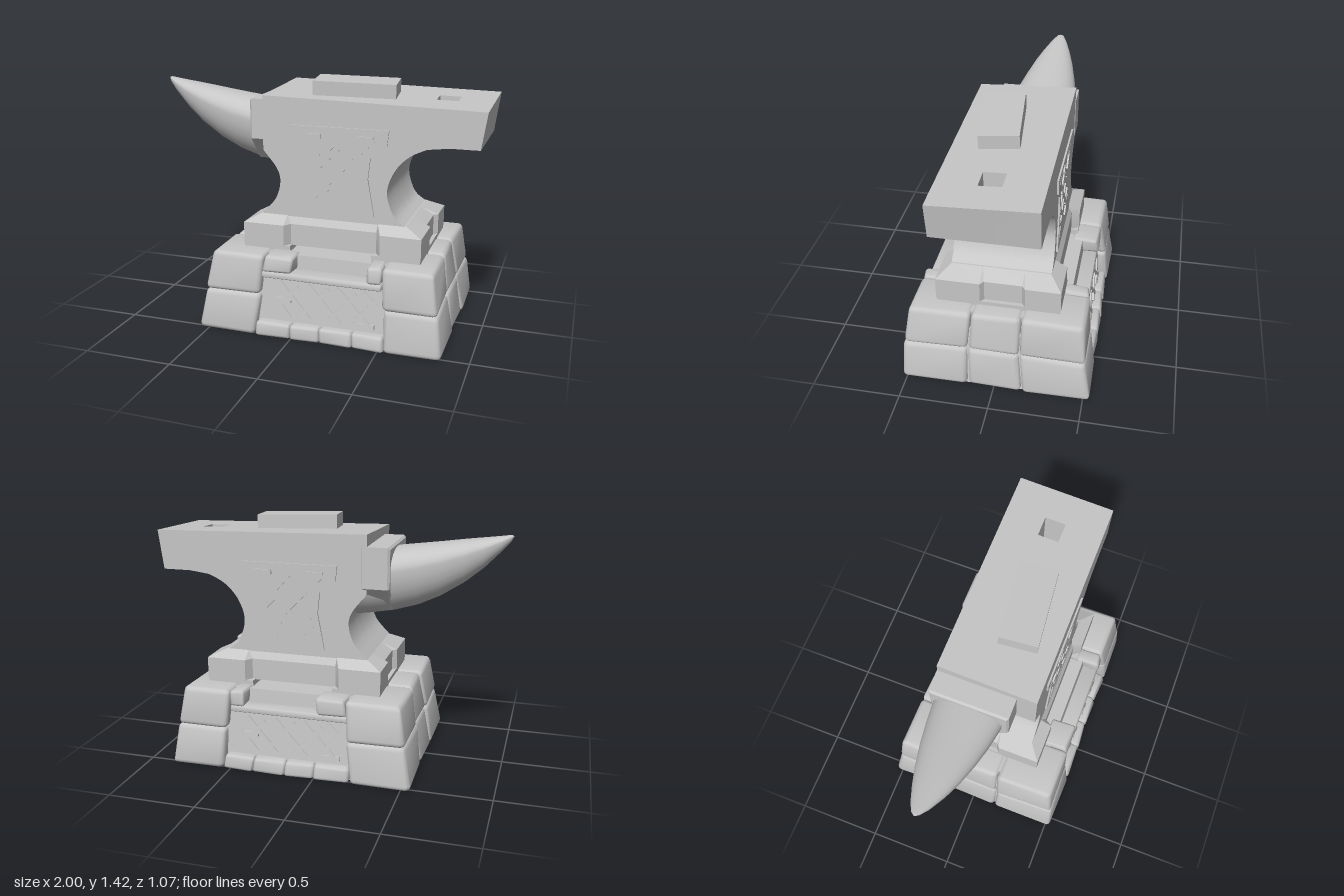
import * as THREE from 'three';
import { toCreasedNormals } from 'three/addons/utils/BufferGeometryUtils.js';
import { RoundedBoxGeometry } from 'three/addons/geometries/RoundedBoxGeometry.js';

const stoneGrey = new THREE.MeshStandardMaterial({ color: 0xc6c6c6 });

function add(parent, name, geo, crease = 0.6) {
  const mesh = new THREE.Mesh(crease ? toCreasedNormals(geo, crease) : geo, stoneGrey);
  mesh.name = name;
  parent.add(mesh);
  return mesh;
}

// move every vertex by a rule
function warp(geo, rule) {
  const p = geo.attributes.position, v = new THREE.Vector3();
  for (let i = 0; i < p.count; i++) {
    rule(v.fromBufferAttribute(p, i));
    p.setXYZ(i, v.x, v.y, v.z);
  }
  return geo;
}

const polygon = pts => new THREE.Shape(pts.map(p => new THREE.Vector2(p[0], p[1])));

// the plinth narrows upwards around x = 0.15
const taper = v => {
  const s = 1 - 0.22 * v.y;
  v.x = 0.15 + (v.x - 0.15) * s;
  v.z *= s;
};

// flat strand from point to point, standing on the plane z
function strand([x1, y1, x2, y2], z, width) {
  const dx = x2 - x1, dy = y2 - y1;
  return new THREE.BoxGeometry(Math.hypot(dx, dy), width, 0.024)
    .rotateZ(Math.atan2(dy, dx)).translate((x1 + x2) / 2, (y1 + y2) / 2, z);
}

// half turn about a vertical axis at x = cx, for the back copy
const turn = (geo, cx, back) => back ? geo.translate(-cx, 0, 0).rotateY(Math.PI).translate(cx, 0, 0) : geo;

function buildPlinth() {
  const plinth = new THREE.Group();
  plinth.name = 'plinth';

  // slightly uneven rounded block
  const block = (name, x0, x1, y0, y1, z0, z1, r = 0.028) => {
    const g = new RoundedBoxGeometry(x1 - x0, y1 - y0, z1 - z0, 2, r);
    g.translate((x0 + x1) / 2, (y0 + y1) / 2, (z0 + z1) / 2);
    warp(g, v => {
      const { x, y, z } = v;
      v.x += 0.006 * Math.sin(23 * y + 31 * z);
      v.z += 0.006 * Math.sin(27 * x + 19 * y);
      v.y = Math.max(0, v.y);
      taper(v);
    });
    add(plinth, name, g, 0.7);
  };
  const plain = (name, x0, x1, y0, y1, zh) => add(plinth, name, warp(
    new THREE.BoxGeometry(x1 - x0, y1 - y0, zh * 2).translate((x0 + x1) / 2, (y0 + y1) / 2, 0), taper));

  plain('lowerCore', -0.53, 0.83, 0.003, 0.36, 0.48);
  plain('upperCore', -0.5, 0.8, 0.36, 0.452, 0.42);

  // two courses of corner and end stones
  for (const [y0, y1] of [[0, 0.24], [0.235, 0.462]]) {
    for (const s of [1, -1]) {
      const zs = [0.155 * s, 0.535 * s].sort((a, b) => a - b);
      block('cornerStone', -0.555, -0.21, y0, y1, ...zs);
      block('cornerStone', 0.54, 0.855, y0, y1, ...zs);
    }
    block('endStone', -0.55, -0.21, y0, y1, -0.15, 0.15);
    block('endStone', 0.54, 0.85, y0, y1, -0.15, 0.15);
  }

  const knot = [
    [-0.16, 0.11, 0.02, 0.29], [-0.1, 0.31, 0.1, 0.11], [0.02, 0.11, 0.21, 0.3],
    [0.08, 0.31, 0.28, 0.11], [0.2, 0.11, 0.38, 0.29], [0.26, 0.31, 0.46, 0.11],
    [0.36, 0.12, 0.49, 0.27], [-0.13, 0.22, -0.02, 0.11], [0.42, 0.31, 0.49, 0.24],
    [-0.12, 0.21, -0.02, 0.21], [0.36, 0.12, 0.48, 0.12],
  ];
  for (const back of [false, true]) {
    const s = back ? -1 : 1;
    const span = (a, b) => [a * s, b * s].sort((p, q) => p - q);
    // sill stones, ledge and the two stones beside the recess
    [-0.205, 0, 0.17, 0.36, 0.54].forEach((x, i, xs) => {
      if (i) block('sillStone', xs[i - 1], x, 0, 0.085, ...span(0.4, 0.53), 0.018);
    });
    block('ledge', -0.205, 0.54, 0.335, 0.372, ...span(0.38, 0.515), 0.01);
    block('topStone', -0.205, -0.02, 0.37, 0.462, ...span(0.36, 0.525), 0.018);
    block('topStone', 0.45, 0.54, 0.37, 0.462, ...span(0.36, 0.525), 0.018);
    // interlaced carving
    for (const k of knot) add(plinth, 'plinthCarving', warp(turn(strand(k, 0.482, 0.024), 0.165, back), taper));
  }
  return plinth;
}

function buildFoot(parent) {
  // outline with a notch in every side; shape y is -z
  const outline = polygon([
    [-0.34, -0.345], [-0.1, -0.345], [-0.07, -0.3], [0.43, -0.3], [0.46, -0.345], [0.69, -0.345],
    [0.69, -0.1], [0.665, -0.08], [0.665, 0.13], [0.69, 0.15], [0.69, 0.345],
    [0.46, 0.345], [0.43, 0.3], [-0.07, 0.3], [-0.1, 0.345], [-0.34, 0.345],
    [-0.34, 0.15], [-0.315, 0.13], [-0.315, -0.08], [-0.34, -0.1],
  ]);
  const g = new THREE.ExtrudeGeometry(outline, { depth: 0.17, steps: 2, bevelEnabled: false });
  g.rotateX(-Math.PI / 2).translate(0, 0.48, 0);
  warp(g, v => {
    if (v.y > 0.62) {
      v.x = THREE.MathUtils.clamp(v.x, -0.25, 0.59);
      v.z = THREE.MathUtils.clamp(v.z, -0.275, 0.275);
    } else if (v.y > 0.5) v.y = 0.605;
  });
  add(parent, 'foot', g, 0.3);
  for (const x of [-0.2, 0.55])
    add(parent, 'footPad', new THREE.BoxGeometry(0.275, 0.035, 0.685).translate(x, 0.4675, 0));
}

function buildBody(parent) {
  // side profile; 'part' picks the whole, or the pieces on either side of the hole
  const profile = part => {
    const s = new THREE.Shape();
    const spline = pts => s.splineThru(pts.map(p => new THREE.Vector2(p[0], p[1])));
    if (part === 'heel') {
      s.moveTo(0.81, 1.1).lineTo(0.97, 1.1).lineTo(1, 1.33).lineTo(0.81, 1.33);
      return s;
    }
    s.moveTo(-0.25, 0.6).lineTo(0.59, 0.6).lineTo(0.58, 0.65);
    spline([[0.52, 0.7], [0.482, 0.8], [0.487, 0.88], [0.53, 0.97], [0.6, 1.04], [0.69, 1.085]]);
    if (part === 'whole') s.lineTo(0.81, 1.1).lineTo(0.97, 1.1).lineTo(1, 1.33);
    else s.lineTo(0.69, 1.33);
    s.lineTo(-0.24, 1.33).lineTo(-0.24, 1.02);
    spline([[-0.16, 0.92], [-0.14, 0.84], [-0.17, 0.74], [-0.25, 0.65]]);
    return s;
  };
  // slabs side by side leave a square hole through the heel
  const slabs = [['whole', -0.278, -0.06], ['waist', -0.06, 0.06], ['heel', -0.06, 0.06], ['whole', 0.06, 0.278]];
  for (const [part, z0, z1] of slabs) {
    const g = new THREE.ExtrudeGeometry(profile(part), { depth: z1 - z0, bevelEnabled: false, curveSegments: 4 });
    g.translate(0, 0, z0);
    // tilted working face
    warp(g, v => { if (v.y > 1.2) v.y += 0.006 - 0.022 * v.x - 0.045 * v.z; });
    add(parent, 'body', g);
  }

  // plate lying askew on the face
  const plate = new THREE.BoxGeometry(0.465, 0.12, 0.215);
  plate.rotateX(0.045).rotateZ(-0.022).rotateY(0.108).translate(0.24, 1.348, 0.05);
  add(parent, 'topPlate', plate);

  // carved panels on both sides
  const rim = [[-0.07, 1.175], [0.485, 1.175], [0.475, 1.09], [0.385, 1.02], [0.372, 0.9],
    [0.41, 0.69], [-0.04, 0.695], [0.0, 0.92], [-0.005, 1.035], [-0.07, 1.09]];
  const inner = rim.map(([x, y]) => [0.205 + (x - 0.205) * 0.86, 0.933 + (y - 0.933) * 0.87]);
  const knot = [
    [0.03, 0.74, 0.28, 1.0], [0.36, 0.74, 0.1, 1.0], [0.1, 1.0, 0.2, 1.11], [0.28, 1.0, 0.18, 1.1],
    [0.04, 0.84, 0.14, 0.74], [0.25, 0.74, 0.34, 0.83], [0.05, 0.91, 0.2, 1.06], [0.34, 0.89, 0.17, 1.05],
    [0.05, 0.91, 0.15, 0.82], [0.34, 0.89, 0.26, 0.81], [0.0, 1.12, 0.1, 1.02], [0.4, 1.12, 0.3, 1.02],
    [0.0, 1.12, 0.1, 1.12], [0.3, 1.12, 0.4, 1.12],
  ];
  for (const back of [false, true]) {
    const frame = polygon(rim);
    frame.holes.push(polygon(inner));
    const g = new THREE.ExtrudeGeometry(frame, { depth: 0.02, bevelEnabled: false }).translate(0, 0, 0.268);
    add(parent, 'panelFrame', turn(g, 0.205, back));
    for (const k of knot) add(parent, 'panelCarving', turn(strand(k, 0.275, 0.026), 0.205, back));
  }
}

function buildHorn(parent) {
  // collar between body and horn; shape x becomes -z
  const collar = polygon([[-0.155, 1.275], [-0.155, 1.06], [-0.04, 0.93], [0.16, 0.93], [0.27, 1.06], [0.27, 1.275]]);
  const c = new THREE.ExtrudeGeometry(collar, {
    depth: 0.14, bevelSize: 0.012, bevelThickness: 0.012, bevelSegments: 1 });
  add(parent, 'collar', c.rotateY(Math.PI / 2).translate(-0.355, 0, 0), 0.3);

  // stations: x, top, bottom, half width, centre z
  const stations = [
    [-1, 1.35, 1.345, 0.001, -0.08], [-0.985, 1.355, 1.318, 0.022, -0.08], [-0.94, 1.347, 1.265, 0.05, -0.078],
    [-0.85, 1.334, 1.17, 0.088, -0.075], [-0.75, 1.32, 1.085, 0.122, -0.072], [-0.62, 1.3, 1.0, 0.155, -0.07],
    [-0.5, 1.283, 0.943, 0.178, -0.067], [-0.37, 1.265, 0.903, 0.196, -0.065], [-0.24, 1.25, 0.878, 0.21, -0.06],
    [-0.1, 1.25, 0.858, 0.215, -0.06],
  ];
  const n = 28, pos = [], idx = [];
  stations.forEach(([x, top, bottom, w, cz], i) => {
    const h = top - bottom, mid = top - 0.32 * h;
    for (let j = 0; j < n; j++) {
      const t = j / n * Math.PI * 2, co = Math.cos(t), si = Math.sin(t);
      pos.push(x, mid + si * h * (si > 0 ? 0.32 : 0.68), cz + w * Math.sign(co) * Math.abs(co) ** 0.9);
      if (i === stations.length - 1) continue;
      const a = i * n + j, d = i * n + (j + 1) % n;
      idx.push(a, a + n, d, d, a + n, d + n);
    }
  });
  const g = new THREE.BufferGeometry();
  g.setAttribute('position', new THREE.Float32BufferAttribute(pos, 3));
  g.setIndex(idx);
  g.computeVertexNormals();
  add(parent, 'horn', g, 0);
}

export function createModel() {
  const model = new THREE.Group();
  model.name = 'anvilOnPlinth';
  const anvil = new THREE.Group();
  anvil.name = 'anvil';
  buildFoot(anvil);
  buildBody(anvil);
  buildHorn(anvil);
  model.add(buildPlinth(), anvil);
  return model;
}
